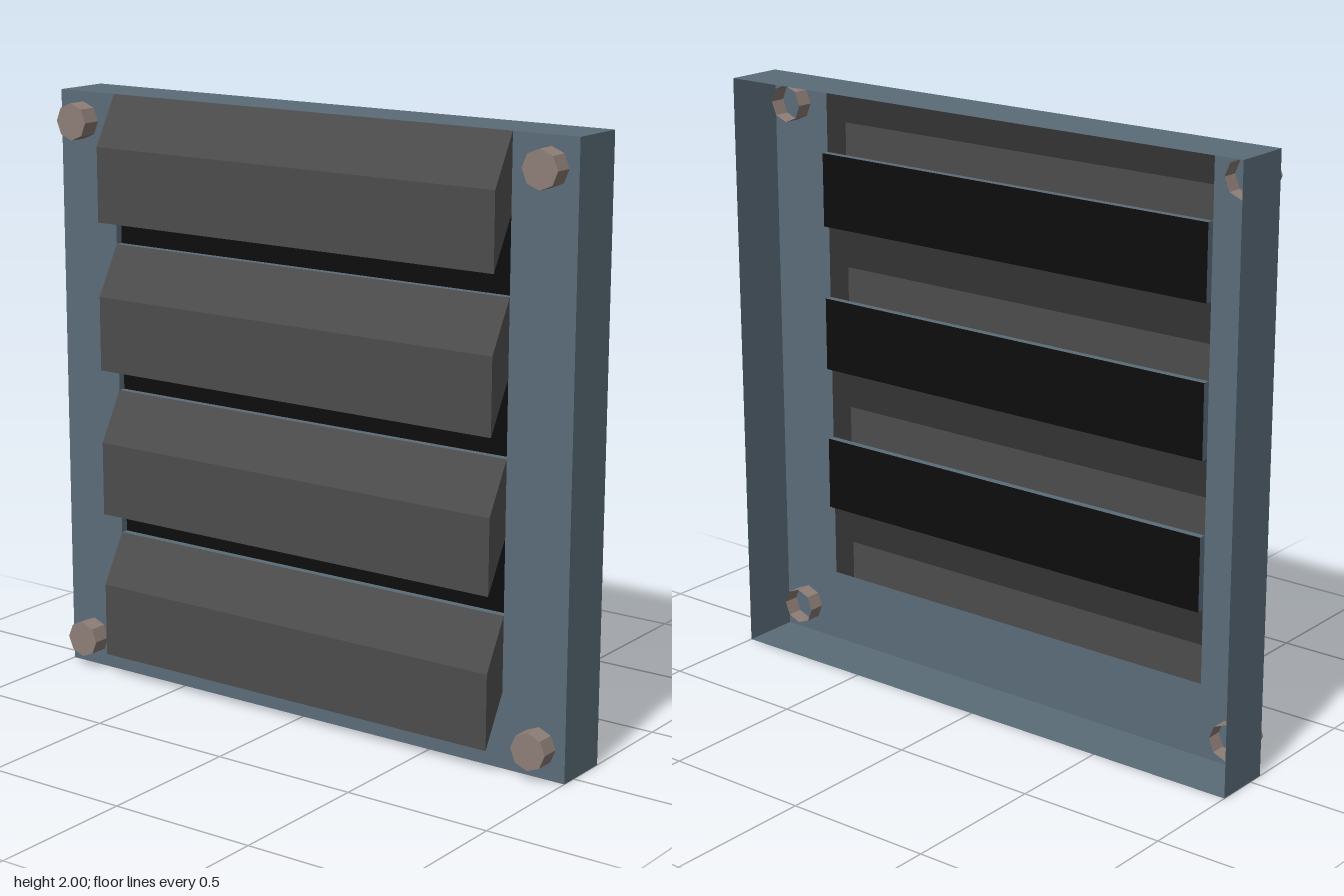
import * as THREE from 'three';

const mat = (color) => new THREE.MeshStandardMaterial({ color, flatShading: true, side: THREE.DoubleSide });
const frameMat = mat(0x5a6c78);
const louverMat = mat(0x4c4c4c);
const panelMat = mat(0x0d0d0d);
const boltMat = mat(0x8f7f78);

const PLATE_X = -0.055, RIM_X = 0.145, LOUVER_X = -0.147, PANEL_X = -0.03;
const HALF_SLOT = 0.77, SLOT_H = 0.25, DROP = 0.165;

function add(parent, geometry, material, name) {
  const mesh = new THREE.Mesh(geometry, material);
  mesh.name = name;
  parent.add(mesh);
  return mesh;
}

// Four-sided sleeve along x between two rectangles; its far end may be closed
function sleeve(x0, x1, y0, y1, halfZ, shift = 0, capped = false) {
  const corners = [[y0, -halfZ], [y1, -halfZ], [y1, halfZ], [y0, halfZ]];
  const near = corners.map(([y, z]) => [x0, y, z]);
  const far = corners.map(([y, z]) => [x1, y + shift, z]);
  const positions = [];
  const quad = (a, b, c, d) => positions.push(...a, ...b, ...c, ...a, ...c, ...d);
  for (let i = 0; i < 4; i++) {
    const j = (i + 1) % 4;
    if (x1 < x0) quad(near[i], far[i], far[j], near[j]);
    else quad(near[i], near[j], far[j], far[i]);
  }
  if (capped) quad(far[0], far[3], far[2], far[1]);
  const g = new THREE.BufferGeometry();
  g.setAttribute('position', new THREE.Float32BufferAttribute(positions, 3));
  g.computeVertexNormals();
  return g;
}

export function createModel() {
  const model = new THREE.Group();
  model.name = 'louveredVent';

  // Thin tray: outer rim and a U-shaped plate around the slots
  add(model, sleeve(PLATE_X, RIM_X, 0, 2, 1), frameMat, 'rim');
  const plate = new THREE.Shape([
    [-1, 2], [-1, 0], [1, 0], [1, 2],
    [HALF_SLOT, 2], [HALF_SLOT, SLOT_H], [-HALF_SLOT, SLOT_H], [-HALF_SLOT, 2],
  ].map(([x, y]) => new THREE.Vector2(x, y)));
  add(model, new THREE.ShapeGeometry(plate).rotateY(-Math.PI / 2).translate(PLATE_X, 0, 0), frameMat, 'plate');

  // Hooded louvers, slanting outward and down, hollow toward the tray
  for (let i = 0; i < 4; i++) {
    const y = SLOT_H + i * 0.5;
    add(model, sleeve(PLATE_X, LOUVER_X, y, y + SLOT_H, HALF_SLOT, -DROP, true), louverMat, 'louver');
  }

  // Recessed dark panels between louvers, with their ledges
  for (let i = 0; i < 3; i++) {
    const y = 0.5 + i * 0.5;
    add(model, sleeve(PLATE_X, PANEL_X, y, y + SLOT_H, HALF_SLOT), frameMat, 'panelLedge');
    const panel = new THREE.PlaneGeometry(2 * HALF_SLOT, SLOT_H).rotateY(Math.PI / 2);
    add(model, panel, panelMat, 'darkPanel').position.set(PANEL_X, y + SLOT_H / 2, 0);
  }

  // Eight-sided corner bolts through the plate, open at the inner end
  const shank = new THREE.CylinderGeometry(0.062, 0.062, 0.12, 8, 1, true).rotateZ(Math.PI / 2);
  const head = new THREE.CircleGeometry(0.062, 8).rotateY(-Math.PI / 2).translate(-0.06, 0, 0);
  for (const y of [0.104, 1.904]) {
    for (const z of [-0.904, 0.904]) {
      const bolt = new THREE.Group();
      bolt.name = 'cornerBolt';
      add(bolt, shank, boltMat, 'boltShank');
      add(bolt, head, boltMat, 'boltHead');
      bolt.position.set(-0.06, y, z);
      model.add(bolt);
    }
  }
  return model;
}
